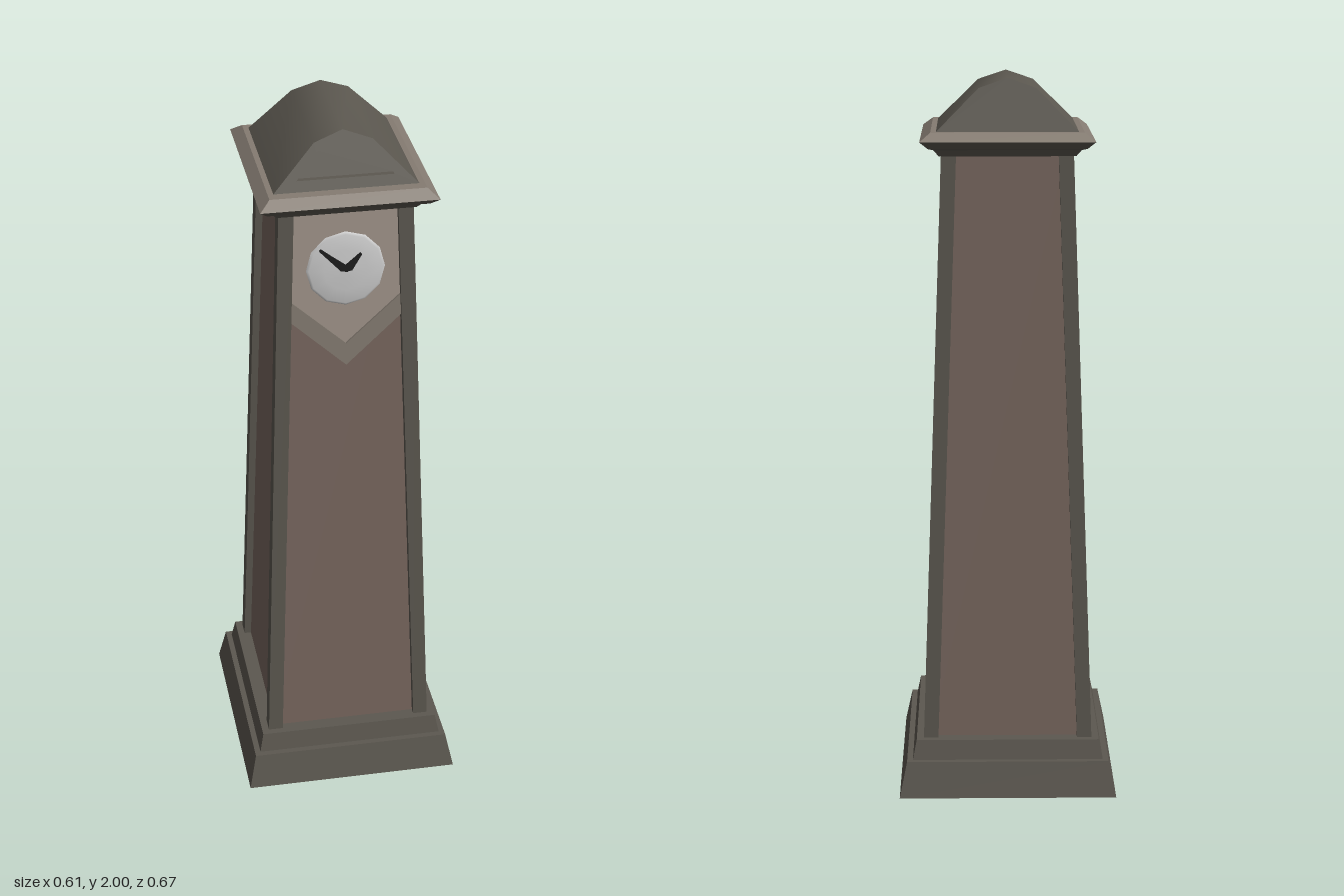
import * as THREE from 'three';
import { toCreasedNormals } from 'three/addons/utils/BufferGeometryUtils.js';

const mat = (color) => new THREE.MeshStandardMaterial({ color });
const V = (x, y, z) => new THREE.Vector3(x, y, z);

// Faceted solid through rings of points, capped at both ends.
// Rings run counter-clockwise seen from the last ring's side (axis 'y' or 'z').
function loft(rings, axis) {
  const pos = [];
  const tri = (a, b, c) => [a, b, c].forEach((p) => pos.push(p.x, p.y, p.z));
  const n = rings[0].length;
  for (let r = 0; r < rings.length - 1; r++) {
    const lo = rings[r], hi = rings[r + 1];
    for (let i = 0; i < n; i++) {
      const j = (i + 1) % n;
      tri(lo[i], lo[j], hi[j]);
      tri(lo[i], hi[j], hi[i]);
    }
  }
  const cap = (ring, flip) => {
    const flat = ring.map((p) => new THREE.Vector2(p.x, axis === 'y' ? -p.z : p.y));
    for (const [a, b, c] of THREE.ShapeUtils.triangulateShape(flat, [])) {
      if (flip) tri(ring[a], ring[c], ring[b]);
      else tri(ring[a], ring[b], ring[c]);
    }
  };
  cap(rings[0], true);
  cap(rings[rings.length - 1], false);
  const g = new THREE.BufferGeometry();
  g.setAttribute('position', new THREE.Float32BufferAttribute(pos, 3));
  g.computeVertexNormals();
  return g;
}

// Horizontal rectangle at height y
const rect = (y, x0, x1, z0, z1) => [V(x0, y, z1), V(x1, y, z1), V(x1, y, z0), V(x0, y, z0)];
// Stack of centred rectangles: [y, half width, half depth]
const tiers = (list) => loft(list.map(([y, x, z]) => rect(y, -x, x, -z, z)), 'y');

// Tapering outer faces of the shaft
const Y0 = 0.155, Y1 = 1.8;
const at = (y, a, b) => a + (b - a) * (y - Y0) / (Y1 - Y0);
const outX = (y) => at(y, 0.237, 0.18);
const outZ = (y) => at(y, 0.266, 0.205);
const RECESS = 0.02;

export function createModel() {
  const model = new THREE.Group();
  model.name = 'clockTower';
  const stone = mat(0x5c5850), wood = mat(0x78675f), trim = mat(0x857c72);
  const plaqueMat = mat(0xa0948a), white = mat(0xcccccc), black = mat(0x1c1c1c);
  const add = (name, geometry, material, parent = model) => {
    const m = new THREE.Mesh(geometry, material);
    m.name = name;
    parent.add(m);
    return m;
  };

  // Stepped plinth
  add('plinth', tiers([
    [0, 0.305, 0.335], [0.1, 0.284, 0.313], [0.1, 0.268, 0.296], [Y0, 0.257, 0.285],
  ]), stone);

  // Recessed panels on all four sides
  add('shaftPanels', tiers([Y0, Y1].map((y) => [y, outX(y) - RECESS, outZ(y) - RECESS])), wood);

  // Tapered corner posts
  for (const sx of [-1, 1]) {
    for (const sz of [-1, 1]) {
      const ring = (y) => {
        const xs = [sx * outX(y), sx * (outX(y) - 0.041)].sort((a, b) => a - b);
        const zs = [sz * outZ(y), sz * (outZ(y) - 0.045)].sort((a, b) => a - b);
        return rect(y, ...xs, ...zs);
      };
      add((sz > 0 ? 'front' : 'back') + (sx > 0 ? 'Left' : 'Right') + 'Post',
        loft([ring(Y0), ring(Y1)], 'y'), stone);
    }
  }

  // Slabs that follow the sloping front face
  const slab = (pts, depth) => loft([0.03, depth].map((d) =>
    pts.map(([x, y]) => V(x, y, outZ(y) - d))), 'z');
  add('dialPlaque', slab([
    [0, 1.395], [0.15, 1.53], [0.141, Y1], [-0.141, Y1], [-0.15, 1.53],
  ], 0.014), plaqueMat);
  add('chevronTrim', slab([
    [0, 1.335], [0.151, 1.475], [0.149, 1.535], [0, 1.4], [-0.149, 1.535], [-0.151, 1.475],
  ], 0.008), trim);

  // Domed dial with two tapered hands
  const clock = new THREE.Group();
  clock.name = 'clock';
  clock.position.set(0, 1.62, outZ(1.62) - 0.014);
  clock.rotation.x = -Math.atan((0.266 - 0.205) / (Y1 - Y0));
  model.add(clock);
  const dome = new THREE.LatheGeometry([
    [0.107, 0], [0.1, 0.005], [0.06, 0.01], [0, 0.012],
  ].map(([r, h]) => new THREE.Vector2(r, h)), 12);
  dome.rotateX(Math.PI / 2);
  add('dial', dome, white, clock);
  for (const [name, x, y, w] of [['minuteHand', -0.07, 0.062, 0.011], ['hourHand', 0.04, 0.046, 0.012]]) {
    const len = Math.hypot(x, y);
    const outline = [[0, -0.006], [w, 0.01], [0.003, len], [-0.003, len], [-w, 0.01]];
    const hand = add(name, loft([0.006, 0.015].map((z) =>
      outline.map(([a, b]) => V(a, b, z))), 'z'), black, clock);
    hand.rotation.z = Math.atan2(-x, y);
  }

  // Cornice: stone moulding below, lighter sloping cap above
  add('corniceMoulding', tiers([
    [1.792, 0.186, 0.215], [1.81, 0.2, 0.23], [1.815, 0.215, 0.248], [1.835, 0.237, 0.271],
  ]), stone);
  add('corniceCap', tiers([[1.835, 0.237, 0.271], [1.858, 0.208, 0.241]]), trim);

  // Curved roof with leaning gables and a recessed front pediment
  const arch = (pts, z) => [...pts, ...pts.slice(0, -1).reverse().map(([x, y]) => [-x, y])]
    .map(([x, y]) => V(x, y, z(y)));
  const outer = [[0.194, 1.857], [0.078, 1.973], [0, 2]];
  const inner = [[0.13, 1.885], [0.074, 1.95], [0, 1.974]];
  const backZ = (y) => -0.22 + (y - 1.857) * 0.27;
  const frontZ = (y) => 0.211 - (y - 1.857) * 0.42;
  const roof = loft([
    arch(outer, backZ), arch(outer, frontZ), arch(inner, frontZ), arch(inner, (y) => frontZ(y) - 0.015),
  ], 'z');
  add('roof', toCreasedNormals(roof, 0.8), stone);

  return model;
}
